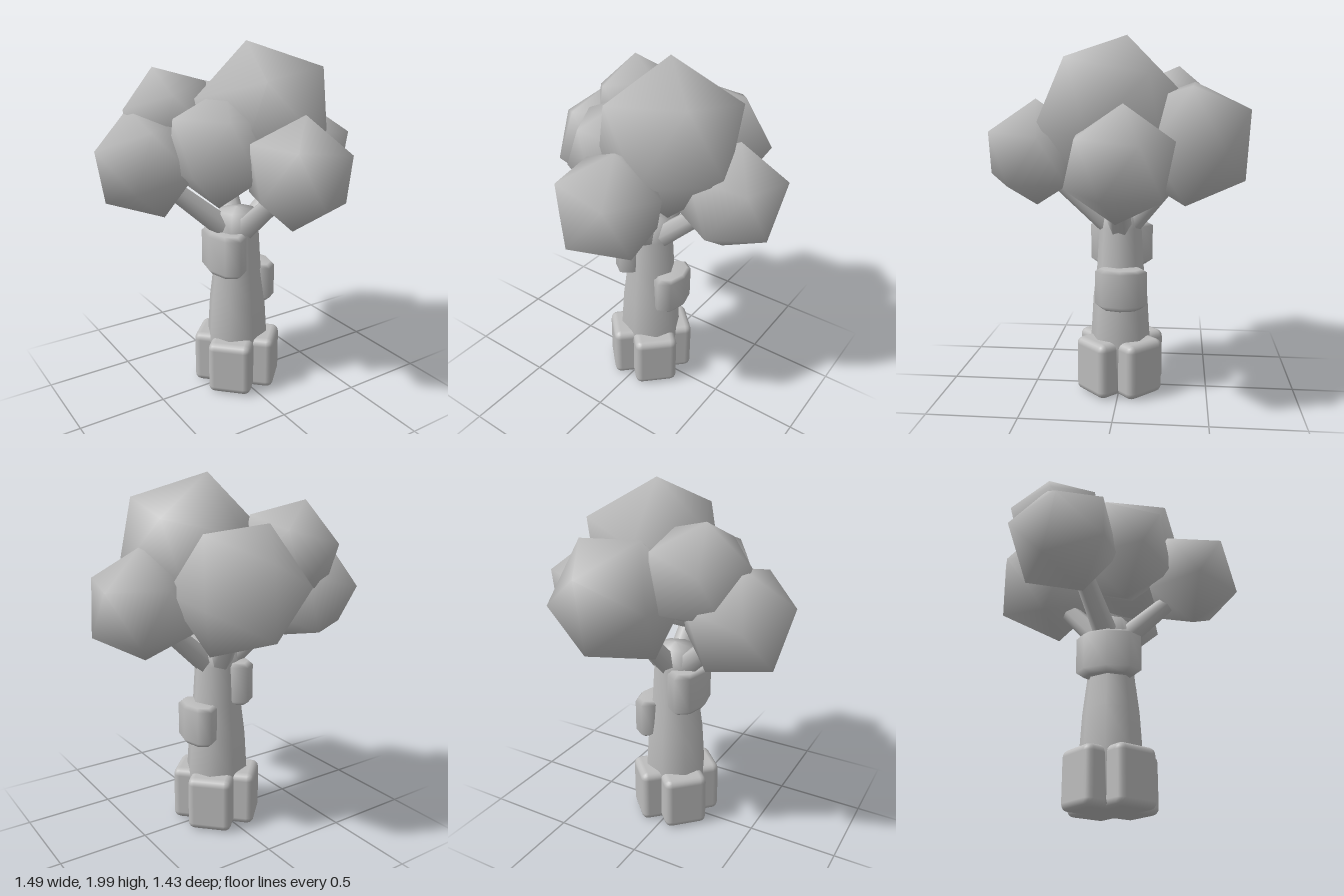
import * as THREE from 'three';
import { mergeVertices } from 'three/addons/utils/BufferGeometryUtils.js';
import { RoundedBoxGeometry } from 'three/addons/geometries/RoundedBoxGeometry.js';

const V = (a) => new THREE.Vector3(...a);

// Orthonormal basis whose x axis is a, with b in its xy plane
function basis(a, b) {
  const x = a.clone().normalize();
  const z = x.clone().cross(b).normalize();
  return new THREE.Matrix4().makeBasis(x, z.clone().cross(x), z);
}

// Smooth-shaded icosahedron turned so one corner points along a and its neighbour towards b
function leafGeometry(radius, a, b) {
  let geo = new THREE.IcosahedronGeometry(radius, 0);
  geo.deleteAttribute('normal');
  geo.deleteAttribute('uv');
  geo = mergeVertices(geo);
  const t = (1 + Math.sqrt(5)) / 2;
  const from = basis(V([1, t, 0]), V([-1, t, 0])).transpose();
  geo.applyMatrix4(basis(V(a), V(b)).multiply(from));
  geo.computeVertexNormals();
  return geo;
}

export function createModel() {
  const model = new THREE.Group();
  model.name = 'tree';
  const grey = new THREE.MeshStandardMaterial({ color: 0xbcbcbc });
  grey.name = 'light grey';

  const add = (name, geo, pos = [0, 0, 0]) => {
    const mesh = new THREE.Mesh(geo, grey);
    mesh.name = name;
    mesh.position.set(...pos);
    model.add(mesh);
    return mesh;
  };
  const lathe = (points) =>
    new THREE.LatheGeometry(points.map((p) => new THREE.Vector2(...p)), 8);

  // Tapering trunk, a little narrower front to back
  const trunk = lathe([[0, 0], [0.18, 0.02], [0.185, 0.3], [0.17, 0.53], [0.145, 0.72],
    [0.13, 0.95], [0.11, 1.07], [0, 1.09]]).scale(1, 1, 0.92);
  add('trunk', trunk, [0.01, 0, 0]);

  // Root flare: two crossed rounded blocks on the diagonals
  for (const turn of [1, -1]) {
    const root = add('root', new RoundedBoxGeometry(0.475, 0.315, 0.25, 2, 0.04), [0.01, 0.1575, 0]);
    root.rotation.y = (turn * Math.PI) / 4;
  }

  // Soft knots on the trunk: position, size
  const knots = [
    [[-0.08, 0.835, 0], [0.1, 0.25, 0.18]],
    [[0.15, 0.62, -0.015], [0.09, 0.23, 0.145]],
  ];
  const knot = lathe([[0, -0.5], [0.75, -0.5], [1, -0.38], [1, 0.42], [0.8, 0.5], [0, 0.5]]);
  for (const [pos, size] of knots) add('knot', knot.clone().scale(...size), pos);

  // Branches from the trunk top into the crown
  const branches = [
    [[-0.02, 0.93, 0], [-0.4, 1.27, -0.13]],
    [[0.04, 0.92, 0], [0.42, 1.26, -0.02]],
    [[0.02, 0.94, 0.03], [0.06, 1.27, 0.4]],
    [[0.02, 0.94, -0.03], [0.1, 1.27, -0.32]],
  ];
  for (const [from, to] of branches) {
    const a = V(from), d = V(to).sub(a);
    const mesh = add('branch', new THREE.CylinderGeometry(0.05, 0.07, d.length(), 6),
      a.clone().addScaledVector(d, 0.5).toArray());
    mesh.quaternion.setFromUnitVectors(V([0, 1, 0]), d.normalize());
  }

  // Leaf clusters: name, centre, radius, corner direction, neighbour direction
  const leaves = [
    ['topLeaves', [0.155, 1.59, 0.045], 0.415, [-0.06, 0.41, -0.09], [0.25, 0.29, 0.21]],
    ['frontLeaves', [0.085, 1.365, 0.46], 0.298, [0.04, 0.295, -0.01], [0.27, 0.11, -0.06]],
    ['leftLeaves', [0.49, 1.335, -0.035], 0.3, [0.02, 0.28, -0.02], [-0.02, 0.08, -0.29]],
    ['rightLeaves', [-0.45, 1.36, -0.19], 0.31, [-0.29, 0.1, 0.01], [-0.14, 0.03, -0.28]],
    ['upperBackLeaves', [-0.265, 1.58, -0.27], 0.285, [-0.07, 0.28, -0.05], [-0.22, 0.1, 0]],
    ['backLeaves', [0.13, 1.43, -0.385], 0.36, [0.03, 0.17, -0.31], [0.22, 0.3, -0.02]],
    ['innerLeaves', [-0.13, 1.45, 0.07], 0.32, [-0.27, 0.18, -0.05], [-0.24, -0.15, 0.19]],
  ];
  for (const [name, pos, r, a, b] of leaves) add(name, leafGeometry(r, a, b), pos);

  return model;
}
